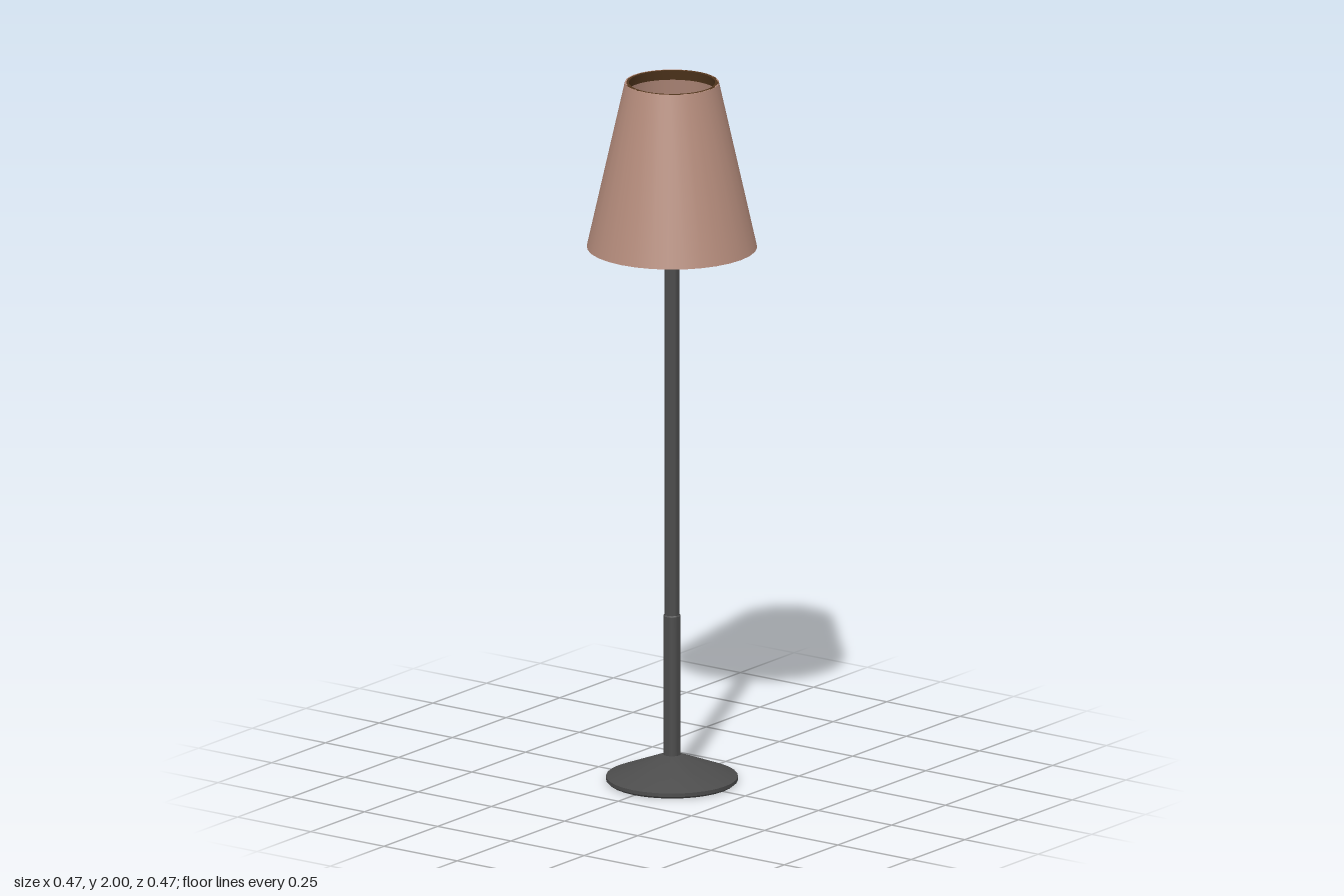
import * as THREE from 'three';
import { toCreasedNormals } from 'three/addons/utils/BufferGeometryUtils.js';

const mat = (color) => new THREE.MeshStandardMaterial({ color });

export function createModel() {
  const lamp = new THREE.Group();
  lamp.name = 'floorLamp';
  const metal = mat(0x4c4c4c);
  const fabric = mat(0xb58c7c);
  const trim = mat(0x50351c);
  const brass = mat(0x87603f);
  const glass = mat(0xcccccc);

  const add = (name, geometry, material) => {
    const mesh = new THREE.Mesh(geometry, material);
    mesh.name = name;
    lamp.add(mesh);
    return mesh;
  };
  // Turned part from [radius, height] pairs, with crisp edges
  const turn = (name, profile, material, sides = 32) => {
    const points = profile.map(([r, y]) => new THREE.Vector2(r, y));
    return add(name, toCreasedNormals(new THREE.LatheGeometry(points, sides), 0.6), material);
  };

  // Foot and two-stage pole
  turn('base', [[0, 0], [0.175, 0], [0.182, 0.006], [0.182, 0.016], [0.026, 0.078], [0, 0.078]], metal);
  turn('pole', [[0.024, 0.07], [0.024, 0.475], [0.021, 0.478], [0.021, 1.53], [0, 1.53]], metal, 24);

  // Socket with a narrow collar
  turn('socket', [[0, 1.515], [0.034, 1.515], [0.034, 1.54], [0.038, 1.54],
    [0.038, 1.585], [0.03, 1.595], [0, 1.595]], brass, 24);

  // Bulb: flared neck running into a round globe
  const globe = [[0, 1.585], [0.028, 1.585], [0.032, 1.61], [0.046, 1.65]];
  const centre = 1.715, radius = 0.088;
  for (let i = 0; i <= 12; i++) {
    const a = -0.8 + (i / 12) * (Math.PI / 2 + 0.8);
    globe.push([Math.max(0, radius * Math.cos(a)), centre + radius * Math.sin(a)]);
  }
  turn('bulb', globe, glass);

  // Conical shade as a thin closed wall
  const outer = (y) => 0.235 - (y - 1.53) * 0.105 / 0.47;
  const wall = (y0, y1, outset, inset) => [
    [outer(y0) - outset, y0], [outer(y1) - outset, y1],
    [outer(y1) - inset, y1], [outer(y0) - inset, y0], [outer(y0) - outset, y0],
  ];
  turn('shade', wall(1.53, 2, 0, 0.004), fabric);

  // Trim bands inside both rims
  turn('bottomTrim', wall(1.53, 1.565, 0.001, 0.011), trim);
  turn('topTrim', wall(1.972, 2, 0.001, 0.011), trim);

  // Carrier ring and three flat spokes
  const ring = add('carrierRing', new THREE.TorusGeometry(0.18, 0.003, 6, 32), metal);
  ring.rotation.x = Math.PI / 2;
  ring.position.y = 1.557;
  for (const degrees of [180, 52, -52]) {
    const spoke = add('spoke', new THREE.BoxGeometry(0.15, 0.006, 0.02).translate(0.105, 0, 0), metal);
    spoke.position.y = 1.557;
    spoke.rotation.y = THREE.MathUtils.degToRad(degrees);
  }

  return lamp;
}
